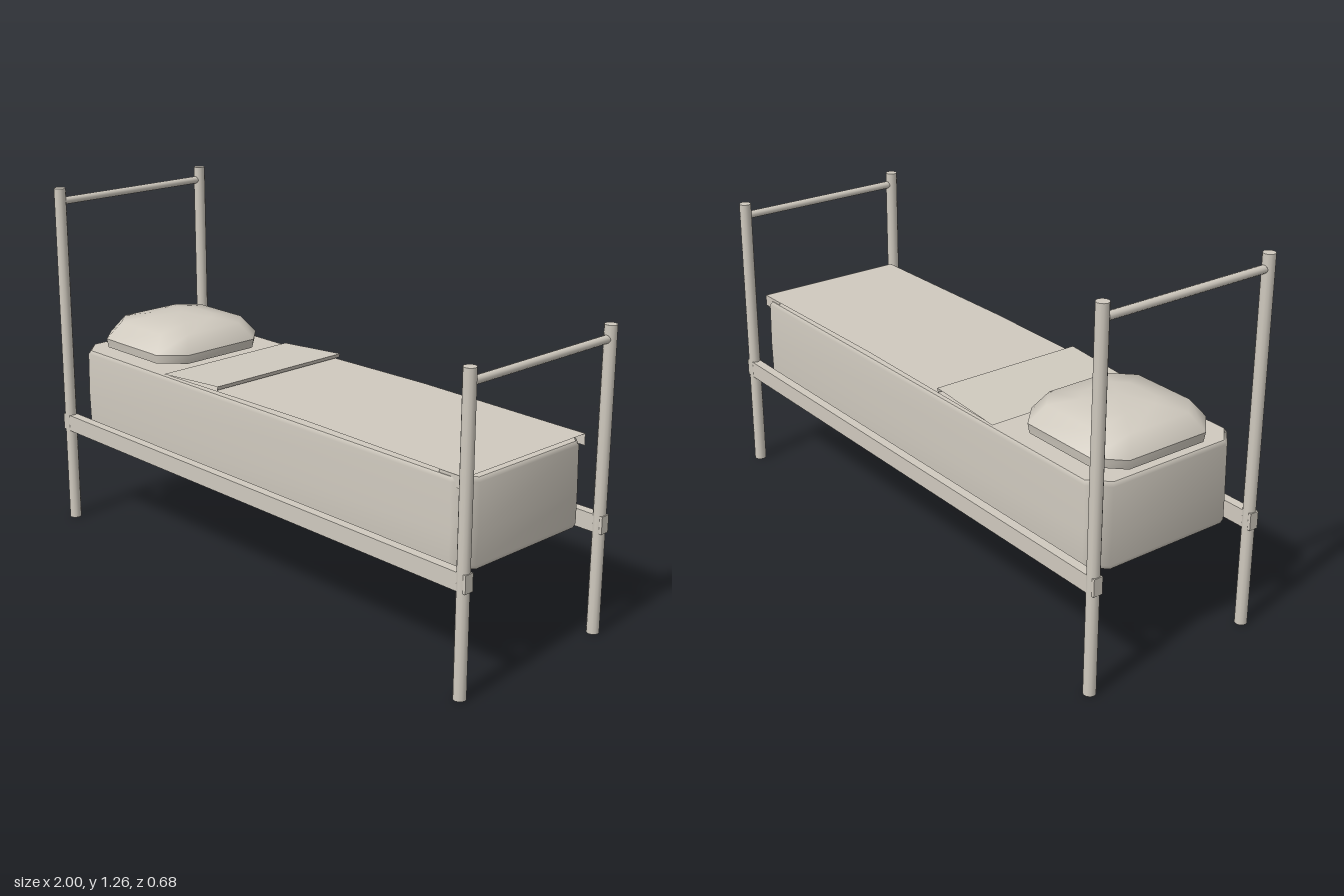
import * as THREE from 'three';

const linen = new THREE.MeshStandardMaterial({ color: 0xd0cabf, side: THREE.DoubleSide });
linen.name = 'warmGrey';

function add(group, name, geometry, x = 0, y = 0, z = 0) {
  const mesh = new THREE.Mesh(geometry, linen);
  mesh.name = name;
  mesh.position.set(x, y, z);
  group.add(mesh);
  return mesh;
}

// Lofts chamfered rectangles; each ring is [y, halfX, halfZ, chamferX, chamferZ].
// capY closes the top with a fan to a centre point at that height.
function loft(rings, capY) {
  const pos = [], index = [];
  for (const [y, a, b, c, d] of rings) {
    const corners = [[a, b - d], [a, d - b], [a - c, -b], [c - a, -b],
      [-a, d - b], [-a, b - d], [c - a, b], [a - c, b]];
    for (const [x, z] of corners) pos.push(x, y, z);
  }
  for (let r = 0; r < rings.length - 1; r++) {
    for (let j = 0; j < 8; j++) {
      const p = r * 8 + j, q = r * 8 + (j + 1) % 8;
      index.push(p, q, q + 8, p, q + 8, p + 8);
    }
  }
  if (capY !== undefined) {
    const base = (rings.length - 1) * 8;
    pos.push(0, capY, 0);
    for (let j = 0; j < 8; j++) index.push(base + j, base + (j + 1) % 8, base + 8);
  }
  const g = new THREE.BufferGeometry();
  g.setAttribute('position', new THREE.Float32BufferAttribute(pos, 3));
  g.setIndex(index);
  g.computeVertexNormals();
  return g;
}

// Flat-faced cloth strip following an x/y profile across the bed's width
function cloth(profile, halfZ) {
  const pos = [], index = [];
  profile.forEach(([x, y], i) => {
    pos.push(x, y, halfZ, x, y, -halfZ);
    if (i) {
      const p = (i - 1) * 2;
      index.push(p, p + 2, p + 3, p, p + 3, p + 1);
    }
  });
  const g = new THREE.BufferGeometry();
  g.setAttribute('position', new THREE.Float32BufferAttribute(pos, 3));
  g.setIndex(index);
  const flat = g.toNonIndexed();
  flat.computeVertexNormals();
  return flat;
}

export function createModel() {
  const bed = new THREE.Group();
  bed.name = 'bed';

  // Frame: posts, end bars and side rails
  const frame = new THREE.Group();
  frame.name = 'frame';
  bed.add(frame);
  const ends = [
    { name: 'head', x: -0.977, height: 1.26, barY: 1.212 },
    { name: 'foot', x: 0.977, height: 1.03, barY: 0.985 },
  ];
  for (const { name, x, height, barY } of ends) {
    for (const side of [-1, 1]) {
      add(frame, name + 'Post', new THREE.CylinderGeometry(0.021, 0.021, height, 12),
        x, height / 2, side * 0.321);
    }
    add(frame, name + 'Bar', new THREE.CylinderGeometry(0.0135, 0.0135, 0.62, 12), x, barY, 0)
      .rotation.x = Math.PI / 2;
  }
  for (const side of [-1, 1]) {
    add(frame, 'sideRail', new THREE.BoxGeometry(2, 0.06, 0.033), 0, 0.38, side * 0.321);
  }

  // Mattress: hollow below, with softly rounded sides and a flat top
  const mattress = new THREE.Group();
  mattress.name = 'mattress';
  bed.add(mattress);
  add(mattress, 'mattressSides', loft([
    [0.38, 0.945, 0.284, 0.06, 0.055],
    [0.395, 0.95, 0.29, 0.06, 0.055],
    [0.5, 0.953, 0.291, 0.06, 0.06],
    [0.655, 0.95, 0.29, 0.06, 0.06],
    [0.668, 0.942, 0.283, 0.06, 0.06],
  ]));
  add(mattress, 'mattressTop', loft([[0.668, 0.942, 0.283, 0.06, 0.06]], 0.668));

  // Pillow: low rim with a softly domed top
  const pillow = new THREE.Group();
  pillow.name = 'pillow';
  pillow.position.x = -0.705;
  bed.add(pillow);
  const rim = [0.71, 0.226, 0.234, 0.08, 0.08];
  add(pillow, 'pillowRim', loft([[0.678, 0.222, 0.23, 0.08, 0.08], rim]));
  add(pillow, 'pillowTop', loft([
    rim,
    [0.77, 0.185, 0.188, 0.07, 0.07],
    [0.786, 0.1, 0.1, 0.04, 0.04],
  ], 0.798));
  add(pillow, 'pillowBase', loft([[0.678, 0.222, 0.23, 0.08, 0.08]], 0.678));

  // Blanket with its top edge folded back, and a short tuck along each side
  add(bed, 'blanket', cloth([[-0.42, 0.674], [0.25, 0.683], [0.935, 0.677]], 0.28));
  add(bed, 'blanketFold', cloth([[-0.45, 0.676], [-0.16, 0.697], [-0.165, 0.683]], 0.285));
  for (const side of [-1, 1]) {
    add(bed, 'blanketTuck', new THREE.PlaneGeometry(0.1, 0.04), 0.885, 0.658, side * 0.28);
  }
  return bed;
}
